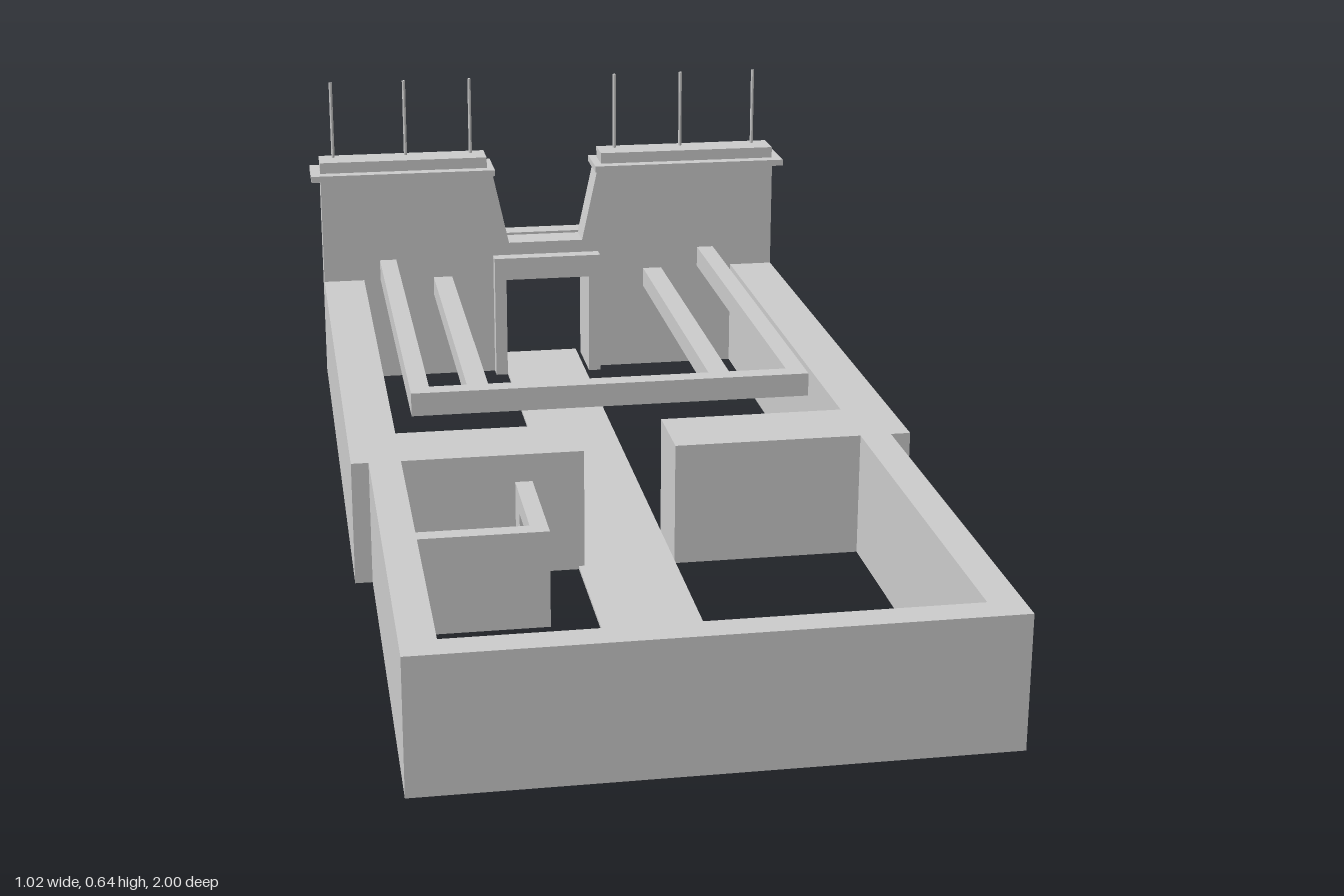
import * as THREE from 'three';

const material = new THREE.MeshStandardMaterial({ color: 0xcccccc, flatShading: true });

export function createModel() {
  const model = new THREE.Group();
  model.name = 'temple';

  const add = (name, geometry) => {
    const mesh = new THREE.Mesh(geometry, material);
    mesh.name = name;
    model.add(mesh);
    return mesh;
  };
  // Box given by its limits on each axis
  const box = (name, x0, x1, y0, y1, z0, z1) =>
    add(name, new THREE.BoxGeometry(x1 - x0, y1 - y0, z1 - z0))
      .position.set((x0 + x1) / 2, (y0 + y1) / 2, (z0 + z1) / 2);
  // Outline in x and y, extruded from z0 to z1
  const slab = (name, points, z0, z1) => {
    const shape = new THREE.Shape(points.map(([x, y]) => new THREE.Vector2(x, y)));
    add(name, new THREE.ExtrudeGeometry(shape, { depth: z1 - z0, bevelEnabled: false }))
      .position.z = z0;
  };
  // Bottom notch (doorway or niche) for an outline, running towards +x
  const notch = (x0, x1, h) => [[x0, 0], [x0, h], [x1, h], [x1, 0]];

  // Floor path and the sanctuary block at its end
  box('floorPath', -0.1, 0.07, 0, 0.006, -1, 0.96);
  box('sanctuaryBlock', -0.1, 0.07, 0, 0.09, 0.77, 0.95);

  // Outer walls: wide around the courtyard, narrower around the inner hall
  const H = 0.22;
  box('courtWallRight', -0.49, -0.405, 0, H, -0.9, 0.23);
  box('courtWallLeft', 0.4, 0.49, 0, H, -0.9, 0.23);
  box('hallWallRight', -0.46, -0.405, 0, H, 0.23, 1);
  box('hallWallLeft', 0.4, 0.455, 0, H, 0.23, 1);
  box('hallEndWall', -0.405, 0.4, 0, H, 0.95, 1);
  box('dividingWallRight', -0.405, -0.09, 0, H, 0.09, 0.23);
  box('dividingWallLeft', 0.07, 0.4, 0, H, 0.09, 0.23);

  // Small side room with a doorway
  box('roomEndWall', -0.405, -0.18, 0, 0.17, 0.43, 0.46);
  box('roomDoorJamb', -0.21, -0.18, 0, 0.17, 0.23, 0.29);
  box('roomDoorLintel', -0.21, -0.18, 0.135, 0.17, 0.29, 0.43);

  // U-shaped roof beams over the courtyard, the inner one lower
  const beamFrame = (name, x0, x1, y0, y1, z1, w) => {
    box(name + 'Right', x0, x0 + w, y0, y1, -0.9, z1 - w);
    box(name + 'Left', x1 - w, x1, y0, y1, -0.9, z1 - w);
    box(name + 'Cross', x0, x1, y0, y1, z1 - w, z1);
  };
  beamFrame('outerBeam', -0.37, 0.36, 0.22, 0.263, 0.005, 0.035);
  beamFrame('innerBeam', -0.255, 0.245, 0.18, 0.22, -0.108, 0.04);

  // Pylon: two towers and a saddle, with a doorway and niches on the outside
  const top = [[0.49, 0], [0.49, 0.45], [0.105, 0.45], [0.07, 0.29],
    [-0.09, 0.29], [-0.125, 0.45], [-0.49, 0.45], [-0.49, 0]];
  const door = notch(-0.1, 0.08, 0.215);
  const niches = [[-0.41, -0.375], [-0.258, -0.222], [0.212, 0.248], [0.365, 0.4]]
    .map(([a, b]) => notch(a, b, 0.29));
  slab('pylonInnerFace', [...top, ...door], -0.93, -0.89);
  slab('pylonOuterFace',
    [...top, ...niches[0], ...niches[1], ...door, ...niches[2], ...niches[3]], -0.96, -0.93);

  // Tower cornices, caps and flagpoles
  const towers = [
    { side: 'Right', x0: -0.49, x1: -0.135, c0: -0.51, c1: -0.12, poles: [-0.46, -0.305, -0.165] },
    { side: 'Left', x0: 0.113, x1: 0.49, c0: 0.097, c1: 0.51, poles: [0.15, 0.295, 0.455] },
  ];
  for (const t of towers) {
    box('cornice' + t.side, t.c0, t.c1, 0.444, 0.457, -0.98, -0.87);
    box('cap' + t.side, t.x0, t.x1, 0.457, 0.48, -0.965, -0.895);
    for (const x of t.poles)
      add('flagpole' + t.side, new THREE.CylinderGeometry(0.0035, 0.0035, 0.17, 8))
        .position.set(x, 0.557, -0.946);
  }

  // Gateway through the pylon, with its stepped cornice outside
  slab('gateway', [[0.105, 0], [0.105, 0.263], [-0.125, 0.263], [-0.125, 0], ...door], -0.995, -0.86);
  box('gateCorniceNeck', -0.12, 0.1, 0.263, 0.275, -0.98, -0.955);
  box('gateCornice', -0.13, 0.11, 0.275, 0.295, -1, -0.955);

  return model;
}
